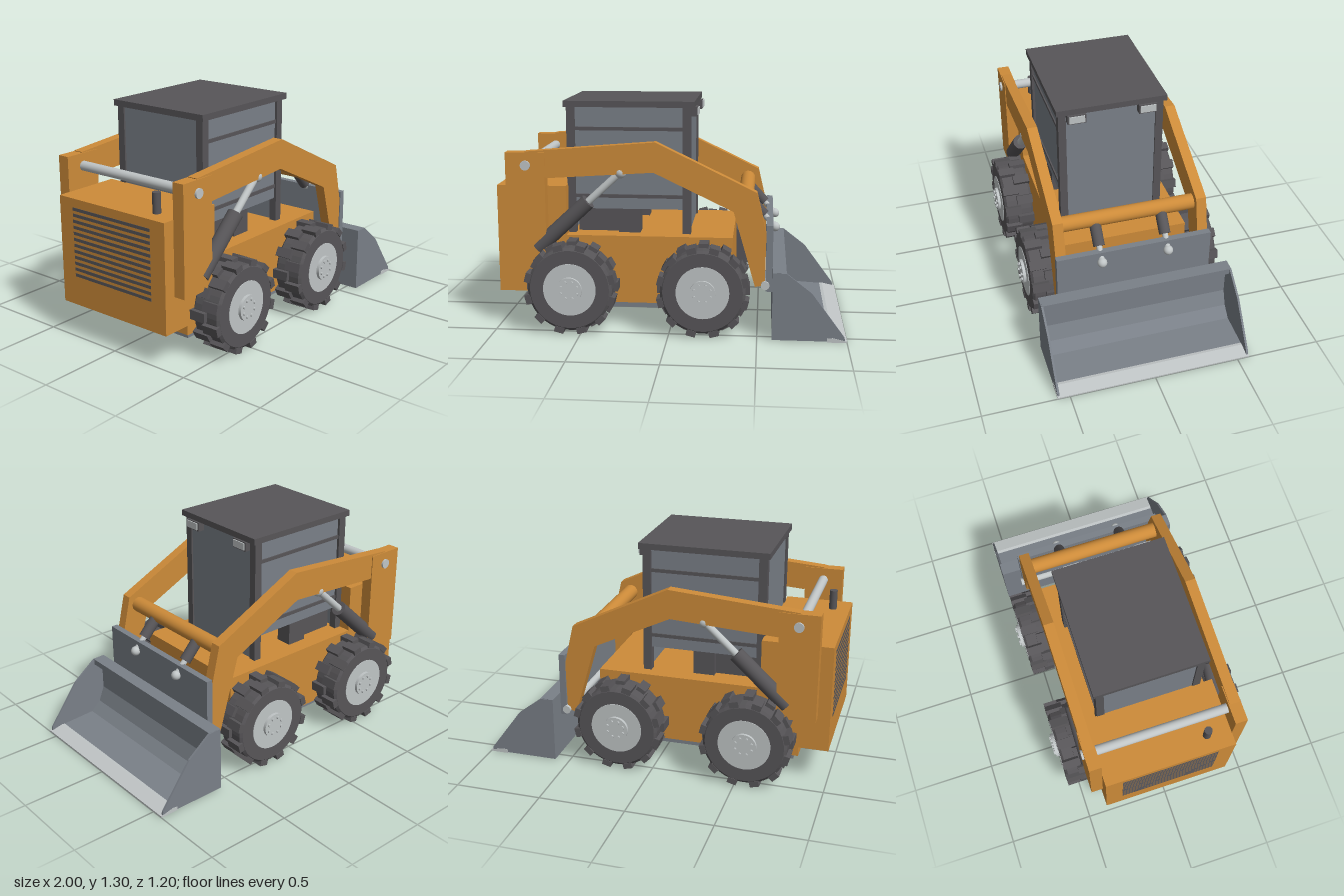
import * as THREE from 'three';

const mat = (name, color) => {
  const m = new THREE.MeshStandardMaterial({ color });
  m.name = name;
  return m;
};

export function createModel() {
  const orange = mat('orange paint', 0xcd8b39);
  const steel = mat('grey steel', 0x7a8088);
  const dark = mat('dark rubber and trim', 0x575558);
  const light = mat('bright metal', 0xc0c5c6);

  const root = new THREE.Group();
  root.name = 'loader';

  const add = (name, geo, material, parent = root) => {
    const m = new THREE.Mesh(geo, material);
    m.name = name;
    parent.add(m);
    return m;
  };
  // Box given by its min and max on each axis
  const box = (name, material, x0, x1, y0, y1, z0, z1, parent = root) => {
    const m = add(name, new THREE.BoxGeometry(x1 - x0, y1 - y0, z1 - z0), material, parent);
    m.position.set((x0 + x1) / 2, (y0 + y1) / 2, (z0 + z1) / 2);
  };
  // Side profile (x, y) extruded from z0 to z1
  const slab = (name, material, pts, z0, z1) => {
    const shape = new THREE.Shape(pts.map(p => new THREE.Vector2(p[0], p[1])));
    const geo = new THREE.ExtrudeGeometry(shape, { depth: z1 - z0, bevelEnabled: false });
    geo.translate(0, 0, z0);
    add(name, geo, material);
  };
  // Cylinder between two points
  const rod = (name, material, a, b, r, parent = root, sides = 24) => {
    const p = new THREE.Vector3(...a), q = new THREE.Vector3(...b);
    const d = q.clone().sub(p);
    const m = add(name, new THREE.CylinderGeometry(r, r, d.length(), sides), material, parent);
    m.position.copy(p).add(q).multiplyScalar(0.5);
    m.quaternion.setFromUnitVectors(new THREE.Vector3(0, 1, 0), d.normalize());
  };
  const ball = (name, material, p, r) => {
    add(name, new THREE.SphereGeometry(r, 20, 14), material).position.set(...p);
  };

  // Chassis with engine hood
  slab('chassis', orange, [[-1, 0.2], [-0.83, 0.2], [-0.83, 0.145], [0.355, 0.145],
    [0.355, 0.54], [-0.6, 0.54], [-0.6, 0.825], [-1, 0.825]], -0.385, 0.385);
  box('bellyPlate', steel, -0.8, 0.3, 0.11, 0.145, -0.36, 0.36);
  for (let i = 0; i < 12; i++) {
    const y = 0.38 + i * 0.035;
    box('grilleSlat', dark, -1.002, -0.996, y - 0.009, y + 0.009, -0.285, 0.285);
  }
  rod('exhaust', dark, [-0.9, 0.8, 0.245], [-0.9, 0.94, 0.245], 0.023);

  // Cab
  const cab = new THREE.Group();
  cab.name = 'cab';
  root.add(cab);
  box('roof', dark, -0.62, 0.13, 1.27, 1.305, -0.325, 0.325, cab);
  box('frontPanel', steel, 0.085, 0.1, 0.54, 1.27, -0.27, 0.27, cab);
  box('rearPanel', steel, -0.595, -0.58, 0.54, 1.27, -0.27, 0.27, cab);
  box('seatBase', dark, -0.55, -0.31, 0.53, 0.72, -0.25, 0.25, cab);
  for (const s of [-1, 1]) {
    const side = (name, m, x0, x1, y0, y1, z0, z1) =>
      box(name, m, x0, x1, y0, y1, Math.min(s * z0, s * z1), Math.max(s * z0, s * z1), cab);
    for (const x of [-0.605, 0.062]) side('cabPost', dark, x, x + 0.048, 0.53, 1.27, 0.265, 0.31);
    side('sidePanel', steel, -0.56, 0.065, 0.68, 1.27, 0.28, 0.295);
    side('upperRail', dark, -0.56, 0.065, 1.135, 1.155, 0.29, 0.303);
    side('lowerRail', dark, -0.56, 0.065, 0.745, 0.765, 0.29, 0.303);
    side('controlPod', dark, -0.31, -0.185, 0.53, 0.72, 0.19, 0.29);
    side('lampHousing', dark, 0.1, 0.143, 1.216, 1.27, 0.155, 0.262);
    side('lampLens', light, 0.143, 0.15, 1.224, 1.265, 0.163, 0.254);
  }

  // Lift arms, rear towers and hydraulics on both sides
  const armProfile = [[-0.82, 1.03], [-0.7, 0.88], [-0.09, 0.92], [0.36, 0.705], [0.485, 0.275],
    [0.54, 0.285], [0.545, 0.58], [0.49, 0.815], [-0.08, 1.09]];
  for (const s of [-1, 1]) {
    slab('liftArm', orange, armProfile, s > 0 ? 0.39 : -0.45, s > 0 ? 0.45 : -0.39);
    box('rearTower', orange, -0.93, -0.705, 0.4, 1.025, s > 0 ? 0.384 : -0.455, s > 0 ? 0.455 : -0.384);
    const z = s * 0.42;
    rod('liftCylinder', dark, [-0.76, 0.47, z], [-0.465, 0.745, z], 0.045);
    rod('liftRod', light, [-0.5, 0.712, z], [-0.28, 0.915, z], 0.021);
    ball('liftRodEnd', light, [-0.28, 0.915, z], 0.035);
    const t = s * 0.195;
    rod('tiltCylinder', dark, [0.425, 0.755, t], [0.53, 0.64, t], 0.033);
    rod('tiltRod', light, [0.52, 0.652, t], [0.595, 0.57, t], 0.017);
    ball('tiltRodEnd', light, [0.595, 0.57, t], 0.028);
  }
  rod('rearCrossTube', light, [-0.815, 0.952, -0.467], [-0.815, 0.952, 0.467], 0.028);
  rod('frontCrossTube', orange, [0.425, 0.755, -0.395], [0.425, 0.755, 0.395], 0.045);
  rod('lowerPivotPin', light, [0.542, 0.287, -0.468], [0.542, 0.287, 0.468], 0.024);

  // Bucket with its mounting plate
  box('mountingPlate', steel, 0.545, 0.583, 0.25, 0.63, -0.455, 0.455);
  slab('bucketShell', steel, [[0.583, 0.005], [0.94, 0.005], [0.93, 0.022], [0.7, 0.035],
    [0.64, 0.09], [0.605, 0.18], [0.605, 0.355], [0.66, 0.355], [0.66, 0.39], [0.583, 0.39]], -0.565, 0.565);
  for (const z of [-0.57, 0.558])
    slab('bucketSide', steel, [[0.583, 0.005], [0.99, 0.005], [0.985, 0.03], [0.8, 0.28],
      [0.66, 0.388], [0.583, 0.39]], z, z + 0.012);
  slab('cuttingEdge', light, [[0.89, 0], [1, 0], [1, 0.008], [0.92, 0.026], [0.89, 0.022]], -0.572, 0.572);

  // Wheels: the outer face looks along local +z
  const tyreGeo = new THREE.LatheGeometry([[0.14, -0.09], [0.225, -0.09], [0.24, -0.075],
    [0.24, 0.075], [0.225, 0.088], [0.15, 0.088], [0.14, 0.07]].map(p => new THREE.Vector2(...p)), 48);
  tyreGeo.rotateX(Math.PI / 2);
  const tyre = tyreGeo.toNonIndexed();
  tyre.computeVertexNormals();
  const lugGeo = new THREE.BoxGeometry(0.054, 0.034, 0.1);
  const wheel = (x, s) => {
    const w = new THREE.Group();
    w.name = 'wheel';
    w.position.set(x, 0.265, s * 0.48);
    if (s < 0) w.rotation.y = Math.PI;
    root.add(w);
    add('tyre', tyre, dark, w);
    // Two staggered rows of tread lugs
    for (let i = 0; i < 24; i++) {
      const a = (i / 24) * Math.PI * 2;
      const lug = add('treadLug', lugGeo, dark, w);
      lug.position.set(Math.sin(a) * 0.245, Math.cos(a) * 0.245, i % 2 ? 0.04 : -0.04);
      lug.rotation.z = -a;
    }
    rod('rim', light, [0, 0, -0.085], [0, 0, 0.091], 0.15, w, 40);
    rod('hub', light, [0, 0, 0.08], [0, 0, 0.108], 0.073, w, 32);
    for (let i = 0; i < 8; i++) {
      const a = (i + 0.5) * Math.PI / 4;
      const bx = Math.cos(a) * 0.05, by = Math.sin(a) * 0.05;
      rod('wheelBolt', light, [bx, by, 0.1], [bx, by, 0.118], 0.009, w, 8);
    }
  };
  for (const x of [-0.555, 0.195]) for (const s of [-1, 1]) wheel(x, s);

  return root;
}
